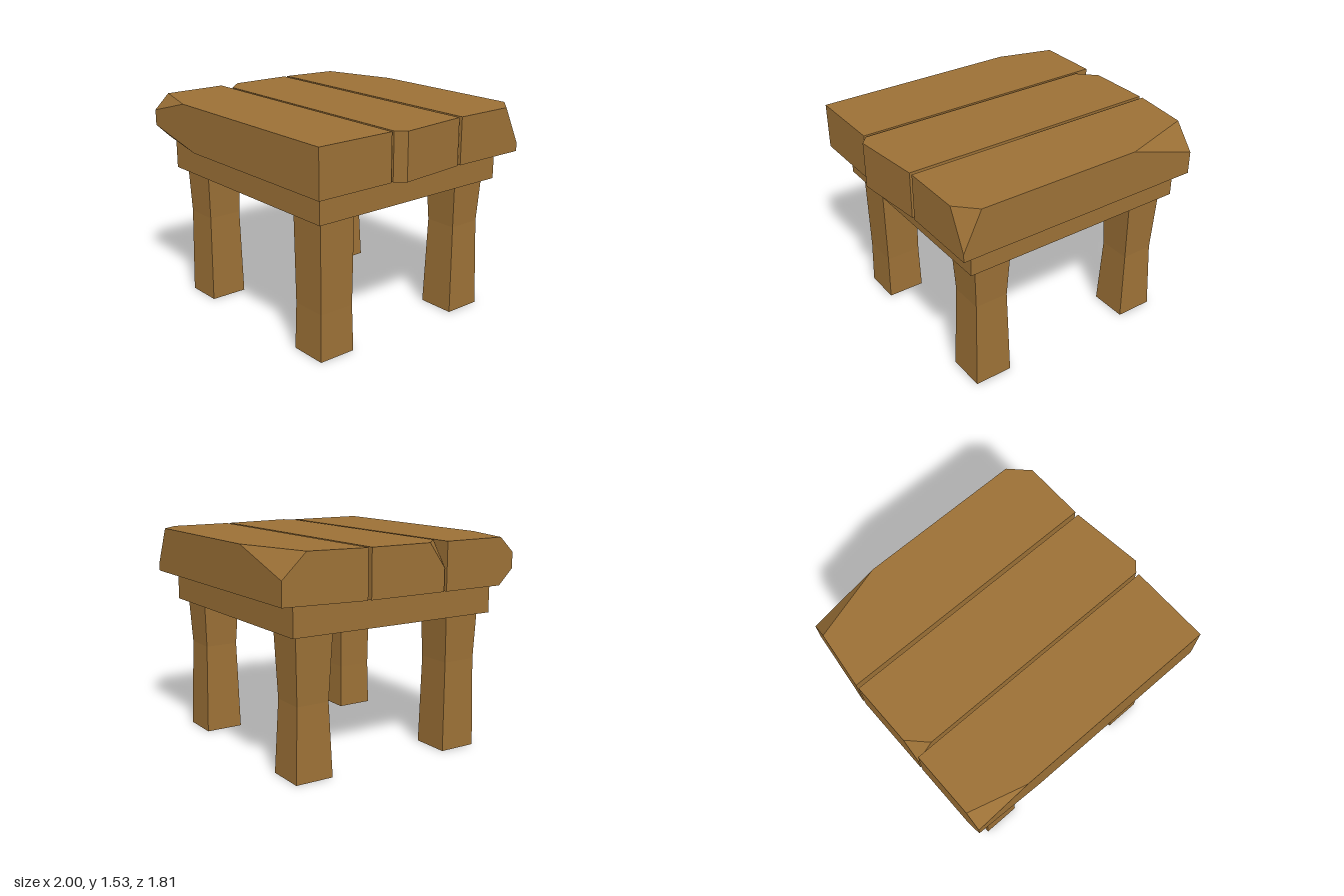
import * as THREE from 'three';
import { ConvexGeometry } from 'three/addons/geometries/ConvexGeometry.js';

const wood = new THREE.MeshStandardMaterial({ color: 0x9b7036, side: THREE.DoubleSide, flatShading: true });
wood.name = 'brown wood';

const LOW = 1.2, HIGH = 1.535;   // underside and top of the planks

// Full-height corner edge
const edge = (x, z) => [[x, LOW, z], [x, HIGH, z]];

function addMesh(group, name, geometry) {
  const mesh = new THREE.Mesh(geometry, wood);
  mesh.name = name;
  group.add(mesh);
  return mesh;
}

// Chipped plank: the convex solid around its corners
function addPlank(group, name, corners) {
  addMesh(group, name, new ConvexGeometry(corners.map((p) => new THREE.Vector3(...p))));
}

// Square leg, open underneath, with a narrower ring at waistY
function addLeg(group, name, x, z, waistY, waistWidth) {
  const width = 0.28, height = 1.0;
  const shape = new THREE.CylinderGeometry(width / Math.SQRT2, width / Math.SQRT2, height, 4, 2, true);
  shape.rotateY(Math.PI / 4);
  shape.translate(0, height / 2, 0);
  const pos = shape.attributes.position;
  for (let i = 0; i < pos.count; i++) {
    if (Math.abs(pos.getY(i) - height / 2) < 0.01) {
      const s = waistWidth / width;
      pos.setXYZ(i, pos.getX(i) * s, waistY, pos.getZ(i) * s);
    }
  }
  const flat = shape.toNonIndexed();
  flat.computeVertexNormals();
  addMesh(group, name, flat).position.set(x, 0, z);
}

export function createModel() {
  const stool = new THREE.Group();
  stool.name = 'woodenStool';

  // Back plank: slanted right end, long top chip and a steep corner chip
  addPlank(stool, 'backPlank', [
    ...edge(-1, -0.32), ...edge(0.945, -0.32),
    [-0.93, LOW, -0.905], [-0.93, 1.365, -0.905],
    [-0.95, HIGH, -0.74], [-0.4, HIGH, -0.905],
    [0.945, LOW, -0.905], [0.945, 1.26, -0.905],
    [0.81, HIGH, -0.905], [0.945, HIGH, -0.77],
  ]);

  // Middle plank: pointed left end, one corner chip
  addPlank(stool, 'middlePlank', [
    ...edge(-1, -0.293), ...edge(0.945, -0.293), ...edge(1, 0.23), ...edge(0.94, 0.297),
    [-1, LOW, 0.297], [-1, 1.36, 0.297],
    [-1, HIGH, 0.17], [-0.875, HIGH, 0.297],
  ]);

  // Front plank: chipped above and below at one corner
  addPlank(stool, 'frontPlank', [
    ...edge(-1, 0.318), ...edge(0.945, 0.318), ...edge(0.945, 0.905),
    [-1, HIGH, 0.79], [-0.59, HIGH, 0.905], [-1, 1.425, 0.905],
    [-1, 1.31, 0.905], [-0.47, LOW, 0.905], [-1, LOW, 0.79],
  ]);

  // Frame under the planks
  addMesh(stool, 'frame', new THREE.BoxGeometry(1.715, 0.225, 1.61)).position.set(-0.028, 1.1025, 0.003);

  // Legs
  addLeg(stool, 'frontRightLeg', -0.684, 0.613, 0.65, 0.255);
  addLeg(stool, 'frontLeftLeg', 0.628, 0.613, 0.34, 0.265);
  addLeg(stool, 'backLeftLeg', 0.628, -0.608, 0.66, 0.245);
  addLeg(stool, 'backRightLeg', -0.684, -0.608, 0.52, 0.24);

  return stool;
}
